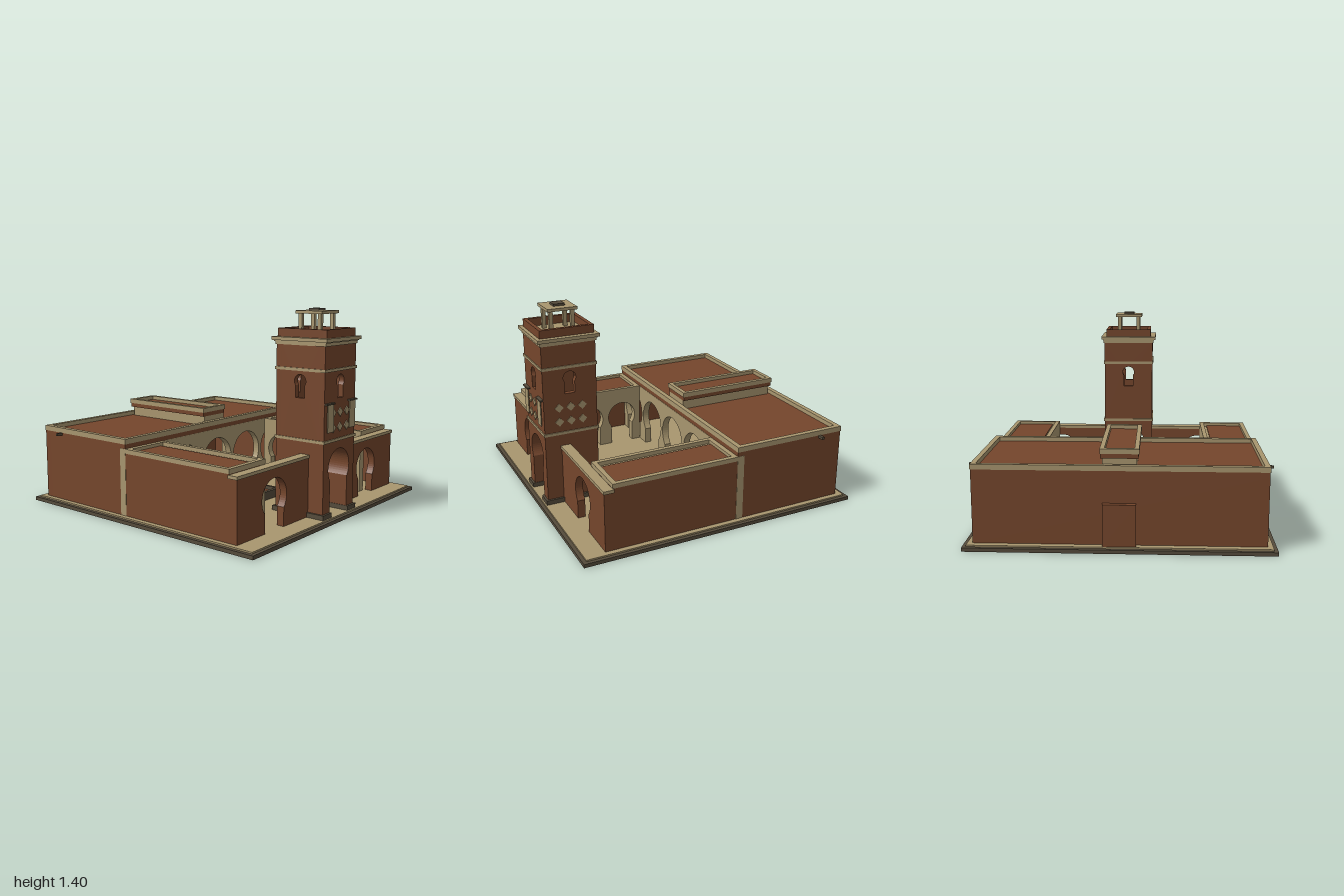
import * as THREE from 'three';

const brick = new THREE.MeshStandardMaterial({ color: 0x75462c });
brick.name = 'brick brown';
const stone = new THREE.MeshStandardMaterial({ color: 0xa8966f });
stone.name = 'sand stone';
const dark = new THREE.MeshStandardMaterial({ color: 0x554b3b });
dark.name = 'dark stone';

export function createModel() {
  const root = new THREE.Group();
  root.name = 'courtyardBuilding';

  function add(name, geometry, material, parent = root) {
    const mesh = new THREE.Mesh(geometry, material);
    mesh.name = name;
    parent.add(mesh);
    return mesh;
  }

  // Box given by its two extreme corners
  function box(name, mat, x0, x1, y0, y1, z0, z1, parent = root) {
    const m = add(name, new THREE.BoxGeometry(x1 - x0, y1 - y0, z1 - z0), mat, parent);
    m.position.set((x0 + x1) / 2, (y0 + y1) / 2, (z0 + z1) / 2);
    return m;
  }

  // Rectangular ring of four boxes, t thick
  function ring(name, mat, x0, x1, y0, y1, z0, z1, t) {
    const g = new THREE.Group();
    g.name = name;
    root.add(g);
    box(name + 'Back', mat, x0, x1, y0, y1, z0, z0 + t, g);
    box(name + 'Front', mat, x0, x1, y0, y1, z1 - t, z1, g);
    box(name + 'SideA', mat, x0, x0 + t, y0, y1, z0 + t, z1 - t, g);
    box(name + 'SideB', mat, x1 - t, x1, y0, y1, z0 + t, z1 - t, g);
  }

  // Horseshoe opening: circle of radius r at (c, cy) on straight jambs of half width w
  function horseshoe(path, c, y0, { r, cy, w }) {
    const d = Math.acos(w / r);
    path.lineTo(c - w, y0);
    path.absarc(c, cy, r, Math.PI + d, -d, true);
    path.lineTo(c + w, y0);
  }

  // Upright wall in the xy plane with openings that reach its foot
  function archWall(x0, x1, y0, y1, depth, centres, arch) {
    const s = new THREE.Shape();
    s.moveTo(x0, y0);
    for (const c of centres) horseshoe(s, c, y0, arch);
    s.lineTo(x1, y0);
    s.lineTo(x1, y1);
    s.lineTo(x0, y1);
    s.closePath();
    return new THREE.ExtrudeGeometry(s, { depth, bevelEnabled: false, curveSegments: 20 });
  }

  const F = 0.035; // floor level

  // Ground
  box('baseSlab', dark, -1, 1, 0, 0.025, -1, 1);
  box('paving', stone, -0.975, 0.975, 0.025, F, -0.975, 0.975);

  // Rear hall
  box('hallBackWall', brick, -0.94, 0.94, F, 0.49, -0.93, -0.88);
  for (const s of [-1, 1]) {
    const a = s * 0.94, b = s * 0.89;
    box('hallSideWall', brick, Math.min(a, b), Math.max(a, b), F, 0.49, -0.88, -0.155);
  }
  box('hallRoof', brick, -0.94, 0.94, 0.49, 0.525, -0.93, -0.107);
  ring('hallParapet', stone, -0.943, 0.943, 0.52, 0.555, -0.933, -0.105, 0.035);
  add('hallArcade', archWall(-0.942, 0.942, F, 0.49, 0.05, [-0.7, -0.35, 0, 0.35, 0.7],
    { r: 0.16, cy: 0.26, w: 0.12 }), stone).position.z = -0.155;
  for (const x of [-0.7, -0.35, 0, 0.35, 0.7]) {
    box('hallColumn', stone, x - 0.025, x + 0.025, F, 0.49, -0.625, -0.575);
    box('hallColumnBase', dark, x - 0.042, x + 0.042, F, 0.065, -0.642, -0.558);
  }
  box('backNiche', brick, -0.107, 0.107, F, 0.31, -0.967, -0.93);
  for (const s of [-1, 1]) box('waterSpout', dark, s * 0.96 - 0.024, s * 0.96 + 0.024, 0.503, 0.52, -0.765, -0.745);

  // Raised nave roof
  box('naveBase', stone, -0.11, 0.11, 0.525, 0.592, -0.88, -0.14);
  box('naveRoof', brick, -0.12, 0.12, 0.592, 0.628, -0.9, -0.14);
  ring('naveParapet', stone, -0.125, 0.125, 0.622, 0.655, -0.903, -0.135, 0.03);

  // Side wings with inner arcades
  for (const s of [-1, 1]) {
    const span = (a, b) => (s > 0 ? [a, b] : [-b, -a]);
    box('wingOuterWall', brick, ...span(0.89, 0.94), F, 0.43, -0.105, 0.785);
    box('wingRoof', brick, ...span(0.64, 0.94), 0.43, 0.468, -0.105, 0.775);
    const inner = add('wingArcade', archWall(-0.775, 0.105, F, 0.462, 0.055, [-0.615, -0.335, -0.055],
      { r: 0.115, cy: 0.255, w: 0.09 }), stone);
    inner.rotation.y = Math.PI / 2;
    inner.position.x = s > 0 ? 0.585 : -0.64;
    const [x0, x1] = span(0.585, 0.943);
    ring('wingParapet', stone, x0, x1, 0.46, 0.49, -0.105, 0.778, 0.032);

    // Front wall with its gateway
    const [w0, w1] = span(0.18, 0.94);
    add('frontWall', archWall(w0, w1, F, 0.435, 0.053, [s * 0.565],
      { r: 0.13, cy: 0.245, w: 0.1 }), brick).position.z = 0.782;
    box('frontCoping', stone, ...span(0.18, 0.95), 0.434, 0.455, 0.77, 0.842);
  }

  // Courtyard pool
  ring('poolRim', dark, -0.125, 0.125, F, 0.095, 0.13, 0.383, 0.023);
  box('poolBed', brick, -0.105, 0.105, F, 0.07, 0.15, 0.363);

  // Tower foot with a through passage
  const TZ = 0.76, H = 0.19;
  add('towerFoot', archWall(-H, H, F, 0.545, 2 * H, [0], { r: 0.13, cy: 0.355, w: 0.105 }), brick)
    .position.z = TZ - H;
  for (const s of [-1, 1])
    box('towerPlinth', dark, s * 0.153 - 0.052, s * 0.153 + 0.052, F, 0.067, TZ - 0.205, TZ + 0.205);

  // Tower shaft: four walls, each with a horseshoe window
  for (let i = 0; i < 4; i++) {
    const side = new THREE.Group();
    side.name = 'towerSide';
    side.position.z = TZ;
    side.rotation.y = i * Math.PI / 2;
    root.add(side);
    const s = new THREE.Shape();
    const half = i % 2 ? H - 0.04 : H;
    s.moveTo(-half, 0.545);
    s.lineTo(half, 0.545);
    s.lineTo(half, 1.18);
    s.lineTo(-half, 1.18);
    s.closePath();
    const hole = new THREE.Path();
    hole.moveTo(-0.035, 0.825);
    horseshoe(hole, 0, 0.825, { r: 0.045, cy: 0.935, w: 0.035 });
    hole.closePath();
    s.holes.push(hole);
    add('shaftWall', new THREE.ExtrudeGeometry(s, { depth: 0.04, bevelEnabled: false, curveSegments: 16 }),
      brick, side).position.z = H - 0.04;
    // Diamond inlays on the front and one flank
    if (i < 2) for (const x of [-0.083, 0, 0.083]) for (const y of [0.63, 0.73]) {
      const d = add('diamondInlay', new THREE.BoxGeometry(0.044, 0.044, 0.008), stone, side);
      d.position.set(x, y, H + 0.002);
      d.rotation.z = Math.PI / 4;
    }
  }

  // Hanging banners on the tower front
  for (const s of [-1, 1]) {
    box('banner', stone, s * 0.135 - 0.036, s * 0.135 + 0.036, 0.61, 0.795, 0.96, 0.966);
    box('bannerRod', dark, s * 0.14 - 0.048, s * 0.14 + 0.048, 0.792, 0.802, 0.945, 0.972);
  }

  // Tower bands, cornice and crown: [name, material, half width, bottom, top]
  for (const [name, mat, h, y0, y1] of [
    ['lowerBand', stone, 0.197, 0.538, 0.557],
    ['upperBand', stone, 0.197, 1.003, 1.022],
    ['corniceBase', stone, 0.197, 1.17, 1.192],
    ['corniceNeck', stone, 0.203, 1.19, 1.198],
    ['cornice', stone, 0.215, 1.197, 1.22],
    ['lanternRoof', stone, 0.104, 1.37, 1.39],
    ['lanternCap', dark, 0.04, 1.39, 1.405],
  ]) box(name, mat, -h, h, y0, y1, TZ - h, TZ + h);
  ring('crownParapet', brick, -0.176, 0.176, 1.22, 1.275, TZ - 0.19, TZ + 0.19, 0.027);
  for (const x of [-0.075, 0.075]) for (const z of [-0.075, 0.075])
    box('lanternPost', stone, x - 0.013, x + 0.013, 1.22, 1.37, TZ + z - 0.013, TZ + z + 0.013);

  return root;
}
